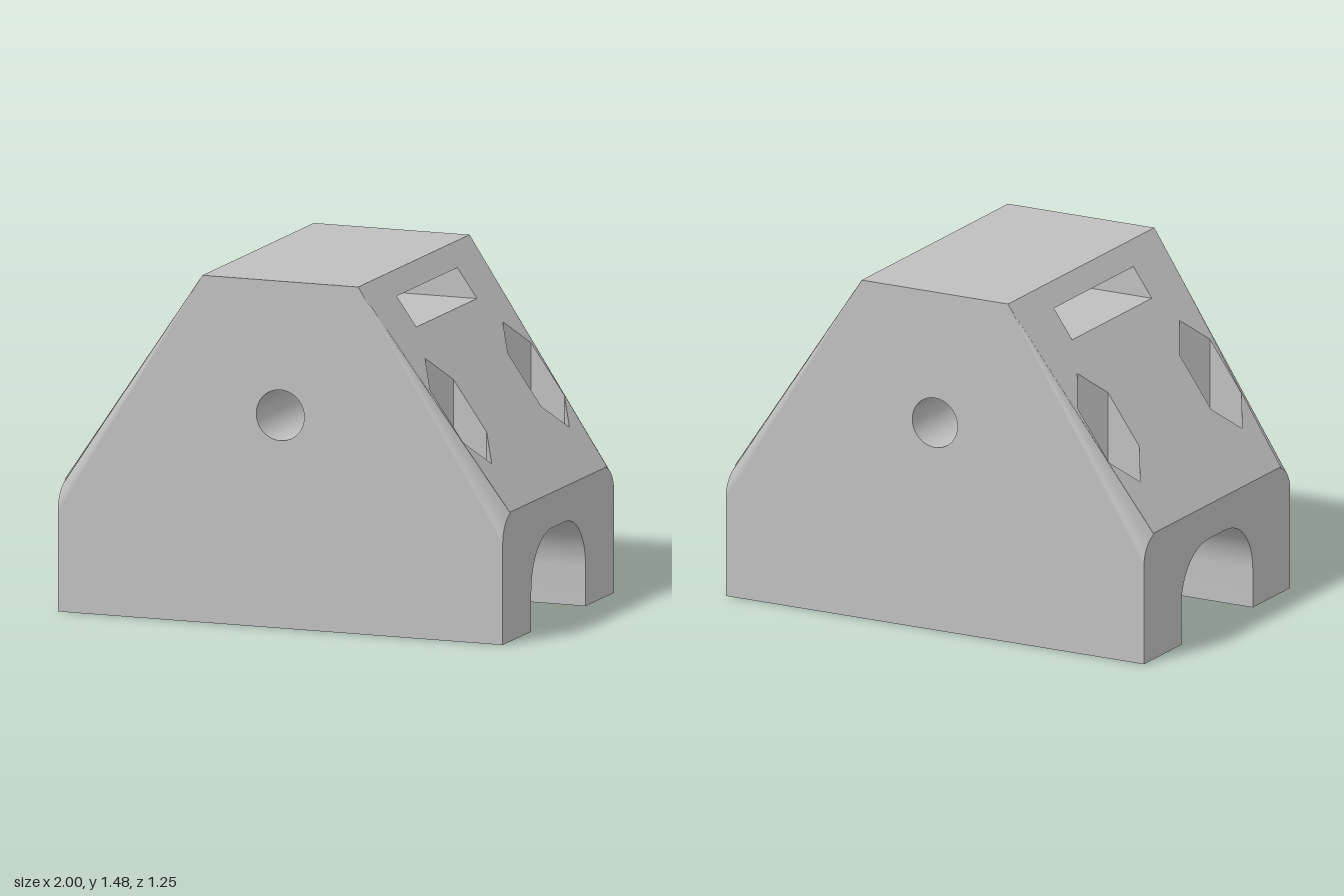
import * as THREE from 'three';

const V = (x, y, z) => new THREE.Vector3(x, y, z);
const W = 1, D = 0.625, TOP = 1.475, EAVE = 0.55, RIDGE = 0.35;
const slopeX = y => W - (y - EAVE) * (W - RIDGE) / (TOP - EAVE);
const slopeY = x => EAVE + (W - x) * (TOP - EAVE) / (W - RIDGE);

export function createModel() {
  const model = new THREE.Group();
  model.name = 'clampBlock';
  const grey = new THREE.MeshStandardMaterial({ color: 0xbfbfbf, side: THREE.DoubleSide });
  grey.name = 'light grey';

  const add = (parent, name, geometry) => {
    const mesh = new THREE.Mesh(geometry, grey);
    mesh.name = name;
    parent.add(mesh);
    return mesh;
  };

  // Flat panel: a 2D shape with holes, placed in space by a mapping
  const panel = (outline, holes, map) => {
    const shape = new THREE.Shape(outline.map(p => new THREE.Vector2(...p)));
    holes.forEach(h => shape.holes.push(new THREE.Path(h.map(p => new THREE.Vector2(...p)))));
    const g = new THREE.ShapeGeometry(shape);
    const pos = g.attributes.position;
    for (let i = 0; i < pos.count; i++) {
      const v = map(pos.getX(i), pos.getY(i));
      pos.setXYZ(i, v.x, v.y, v.z);
    }
    g.computeVertexNormals();
    return g;
  };

  // Strip of quads between two matching rows of points
  const loft = (a, b, closed, smooth) => {
    const n = a.length, index = [];
    for (let i = 0; i < (closed ? n : n - 1); i++) {
      const j = (i + 1) % n;
      index.push(i, j, n + j, i, n + j, n + i);
    }
    let g = new THREE.BufferGeometry().setFromPoints([...a, ...b]);
    g.setIndex(index);
    if (!smooth) g = g.toNonIndexed();
    g.computeVertexNormals();
    return g;
  };

  const ring = (n, r, cx, cy) => Array.from({ length: n }, (_, i) => {
    const t = i / n * Math.PI * 2;
    return [cx + r * Math.cos(t), cy + r * Math.sin(t)];
  });

  // Rounded shoulder at the end face, listed from the slope out to the side
  const shoulder = [[0.545, EAVE]];
  for (let i = 2; i <= 10; i++) {
    const t = i / 10 * Math.PI / 2;
    shoulder.push([D - 0.12 + 0.12 * Math.sin(t), EAVE - 0.12 + 0.12 * Math.cos(t)]);
  }

  // Channel arch as [z, y], from +z over the top to -z
  const half = [[0.305, 0]];
  for (let i = 0; i <= 12; i++) {
    const t = i / 12 * Math.PI / 2;
    half.push([0.075 + 0.23 * Math.cos(t), 0.17 + 0.23 * Math.sin(t)]);
  }
  const arch = [...half, ...half.map(([z, y]) => [-z, y]).reverse()];

  // Front and back faces with the cross bore
  const bore = ring(48, 0.108, 0, 0.905);
  const gable = [[-W, 0], [W, 0], [W, EAVE - 0.12], [RIDGE, TOP], [-RIDGE, TOP], [-W, EAVE - 0.12]];
  add(model, 'frontFace', panel(gable, [bore], (x, y) => V(x, y, D)));
  add(model, 'backFace', panel(gable, [bore], (x, y) => V(-x, y, -D)));
  const boreLoop = [...bore].reverse();
  add(model, 'crossBore', loft(boreLoop.map(([x, y]) => V(x, y, -D)), boreLoop.map(([x, y]) => V(x, y, D)), true, true));

  // Top face
  const topFace = add(model, 'topFace', new THREE.PlaneGeometry(2 * RIDGE, 2 * D).rotateX(-Math.PI / 2));
  topFace.position.y = TOP;

  // Channel and strap slot, both running through along x
  add(model, 'channel', loft(arch.map(([z, y]) => V(-W, y, z)), arch.map(([z, y]) => V(W, y, z)), false, true));
  const slot = [[0.34, 1.39], [-0.34, 1.39], [-0.34, 1.265], [0.34, 1.265]];
  add(model, 'strapSlot', loft(slot.map(([z, y]) => V(-slopeX(y), y, z)), slot.map(([z, y]) => V(slopeX(y), y, z)), true, false));

  // Feet undersides with bolt holes
  const boltX = 0.725, boltZ = 0.436, boltR = 0.083, floorY = 0.5;
  for (const s of [1, -1]) {
    const strip = [[-W, s * 0.305], [W, s * 0.305], [W, s * D], [-W, s * D]];
    const holes = [-boltX, boltX].map(x => ring(48, boltR, x, s * boltZ));
    add(model, 'footUnderside', panel(strip, holes, (x, z) => V(x, 0, z)));
  }

  // One sloped end, repeated on the other side by a half turn
  for (const turn of [0, Math.PI]) {
    const side = new THREE.Group();
    side.name = turn ? 'rightEnd' : 'leftEnd';
    side.rotation.y = turn;
    model.add(side);

    // End face around the channel mouth
    const mirrored = shoulder.map(([z, y]) => [-z, y]).reverse();
    const end = [[D, 0], ...[...shoulder].reverse(), ...mirrored.reverse(), [-D, 0], ...[...arch].reverse()];
    add(side, 'endFace', panel(end, [], (u, y) => V(W, y, -u)));

    // Slope with slot and nut pocket openings
    const hexes = [1, -1].map(s => ring(6, 0.15, boltX, s * boltZ));
    const openings = hexes.map(h => h.map(([x, z]) => [-z, slopeY(x)]));
    const z0 = shoulder[0][0];
    add(side, 'slope', panel([[-z0, EAVE], [z0, EAVE], [D, TOP], [-D, TOP]], [slot, ...openings],
      (u, y) => V(slopeX(y), y, -u)));

    [1, -1].forEach((s, k) => {
      // Tapering rounded edge
      const rim = shoulder.map(([z, y]) => V(W, y, s * z));
      const tip = shoulder.map(() => V(RIDGE, TOP, s * D));
      add(side, 'roundedEdge', s > 0 ? loft(tip, rim, false, true) : loft(rim, tip, false, true));

      // Nut pocket, its floor and the bolt hole below
      const hex = hexes[k], hole = ring(48, boltR, boltX, s * boltZ);
      add(side, 'nutPocket', loft(hex.map(([x, z]) => V(x, floorY, z)), hex.map(([x, z]) => V(x, slopeY(x), z)), true, false));
      const flip = ([x, z]) => [x, -z];
      add(side, 'pocketFloor', panel(hex.map(flip), [hole.map(flip)], (x, v) => V(x, floorY, -v)));
      add(side, 'boltHole', loft(hole.map(([x, z]) => V(x, 0, z)), hole.map(([x, z]) => V(x, floorY, z)), true, true));
    });
  }
  return model;
}
